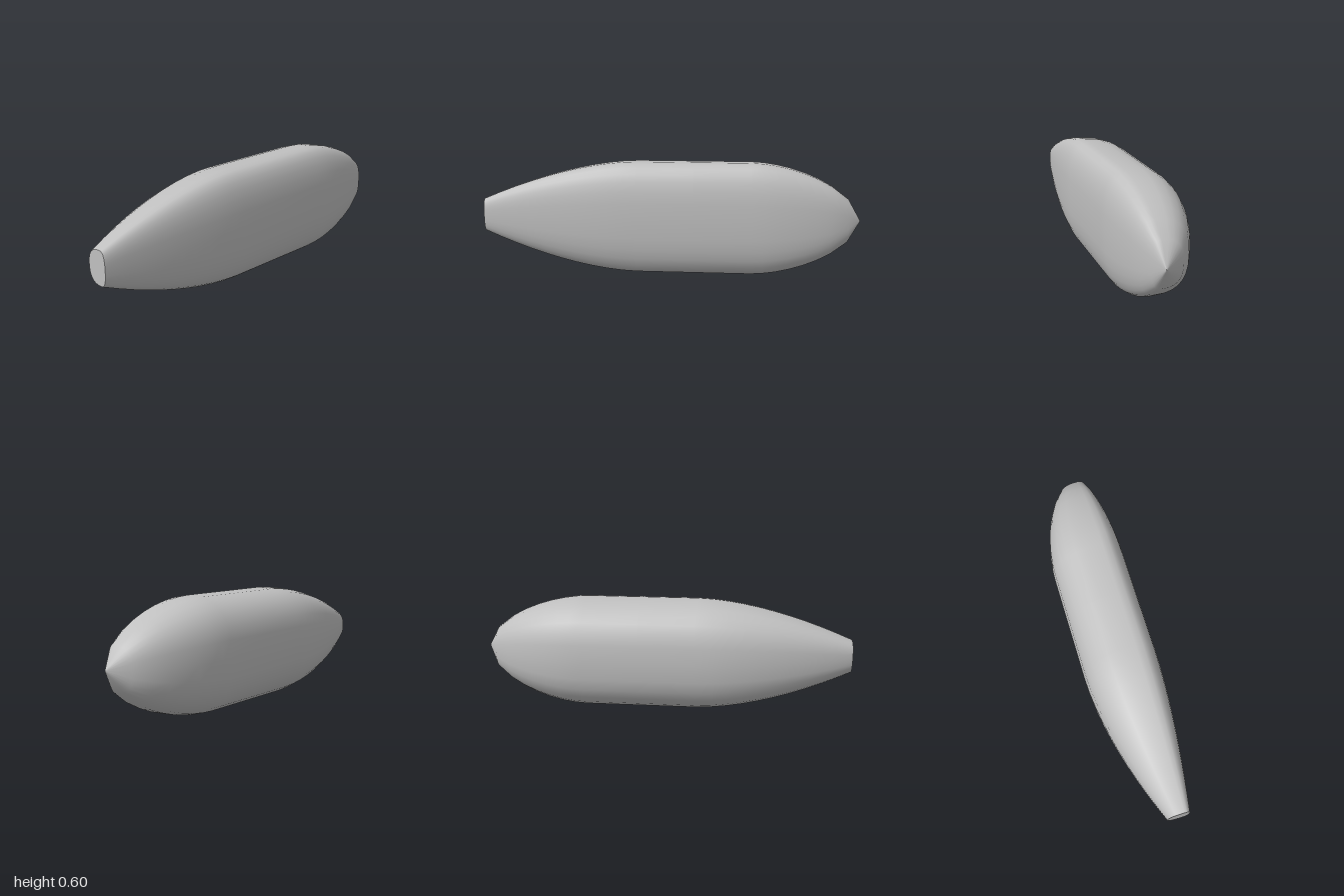
import * as THREE from 'three';

const SIDES = 28;
const CY = 0.3, CZ = 0.079; // axis of the hull
const HALF_HEIGHT = 0.298, FRONT_DEPTH = 0.119, BACK_DEPTH = 0.277;
const TAIL_START = -0.17, NOSE_START = 0.43;

// Relative size of the cross-section along the length
function sizeAt(x) {
  if (x < TAIL_START) {
    const t = (TAIL_START - x) / (1 + TAIL_START);
    return 1 - 0.705 * Math.pow(t, 1.72);
  }
  if (x > NOSE_START) {
    const u = (x - NOSE_START) / (1 - NOSE_START);
    return Math.pow(Math.max(0, 1 - Math.pow(u, 1.75)), 0.58);
  }
  return 1;
}

// Rounded section: shallow at the front, deep at the back
function sectionPoint(x, j) {
  const a = (j / SIDES) * Math.PI * 2;
  const soften = (v) => Math.sign(v) * Math.pow(Math.abs(v), 0.77);
  const s = sizeAt(x);
  const y = soften(Math.cos(a)), z = soften(Math.sin(a));
  return [x, CY + s * HALF_HEIGHT * y, CZ + s * (z > 0 ? FRONT_DEPTH : BACK_DEPTH) * z];
}

function makeGeometry(positions, indices) {
  const g = new THREE.BufferGeometry();
  g.setAttribute('position', new THREE.Float32BufferAttribute(positions, 3));
  g.setIndex(indices);
  g.computeVertexNormals();
  return g;
}

function hullGeometry() {
  const stations = [];
  for (let i = 0; i <= 10; i++) stations.push(-1 + (i / 10) * (1 + TAIL_START));
  stations.push(0.13);
  for (const u of [0, 0.11, 0.23, 0.36, 0.49, 0.615, 0.737, 0.886, 1]) {
    stations.push(NOSE_START + u * (1 - NOSE_START));
  }
  const positions = [], indices = [];
  stations.forEach((x, i) => {
    for (let j = 0; j < SIDES; j++) {
      positions.push(...sectionPoint(x, j));
      if (i === stations.length - 1) continue;
      const k = (j + 1) % SIDES;
      const a = i * SIDES + j, c = i * SIDES + k;
      const b = a + SIDES, d = c + SIDES;
      indices.push(a, c, b);
      if (i < stations.length - 2) indices.push(c, d, b); // the nose closes to a point
    }
  });
  return makeGeometry(positions, indices);
}

function tailCapGeometry() {
  const positions = [-1, CY, CZ], indices = [];
  for (let j = 0; j < SIDES; j++) {
    positions.push(...sectionPoint(-1, j));
    indices.push(0, ((j + 1) % SIDES) + 1, j + 1);
  }
  return makeGeometry(positions, indices);
}

export function createModel() {
  const group = new THREE.Group();
  group.name = 'pod';
  const grey = new THREE.MeshStandardMaterial({ color: 0xc0c0c0 });
  grey.name = 'grey';

  // Smooth hull with pointed nose and tapered tail
  const hull = new THREE.Mesh(hullGeometry(), grey);
  hull.name = 'hull';

  // Flat end of the tail
  const cap = new THREE.Mesh(tailCapGeometry(), grey);
  cap.name = 'tailCap';

  group.add(hull, cap);
  return group;
}
